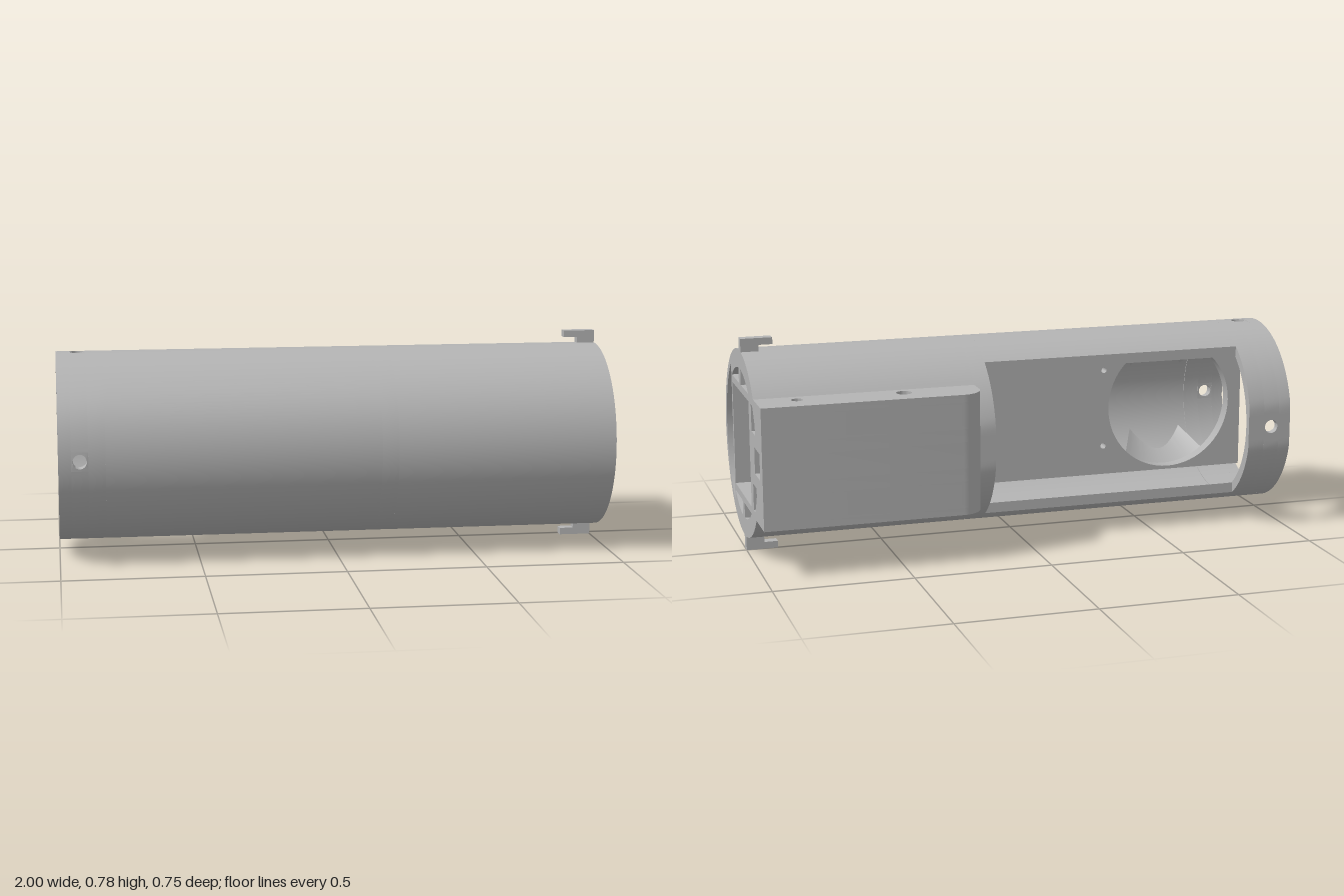
import * as THREE from 'three';
import { toCreasedNormals } from 'three/addons/utils/BufferGeometryUtils.js';

// Cross-sections use (a, h): a points to the back (-z), h is up, both from the tube axis.
const R = 0.342, RI = 0.312, RB = 0.309, FLAT = 0.333, PI = Math.PI;

const arc = (r, t0, t1, n = 96) => Array.from({ length: n + 1 }, (_, i) => {
  const t = t0 + (t1 - t0) * i / n, q = typeof r === 'function' ? r(t) : r;
  return [q * Math.cos(t), q * Math.sin(t)];
});
const circle = (r, x = 0, y = 0, n = 32) =>
  arc(r, 0, 2 * PI, n).slice(0, -1).map(p => [p[0] + x, p[1] + y]);
const rect = (x0, y0, x1, y1) => [[x0, y0], [x1, y0], [x1, y1], [x0, y1]];
const vecs = pts => pts.map(p => new THREE.Vector2(p[0], p[1]));
const mirror = pts => pts.map(p => [p[0], -p[1]]);

// outer radius of the collars, flattened at the back
const collarR = t => {
  const c = Math.cos(t);
  return c > 0 ? Math.min(R, FLAT / c) : R;
};

function extrude(pts, holes, depth, steps = 1) {
  const shape = new THREE.Shape(vecs(pts));
  holes.forEach(h => shape.holes.push(new THREE.Path(vecs(h))));
  return new THREE.ExtrudeGeometry(shape, { depth, steps, bevelEnabled: false });
}

export function createModel() {
  const model = new THREE.Group();
  const body = new THREE.Group();
  body.name = 'housing';
  body.position.set(0, 0.392, 0.033);
  model.add(body);
  const grey = new THREE.MeshStandardMaterial({ color: 0xb4b4b4 });
  grey.name = 'grey plastic';
  const greyThin = new THREE.MeshStandardMaterial({ color: 0xb4b4b4, side: THREE.DoubleSide });
  greyThin.name = 'grey plastic thin';

  const add = (name, geo, mat = grey) => {
    const mesh = new THREE.Mesh(toCreasedNormals(geo, 0.5), mat);
    mesh.name = name;
    body.add(mesh);
    return mesh;
  };
  // section extruded along x
  const along = (name, pts, holes, x0, x1) =>
    add(name, extrude(pts, holes, x1 - x0).rotateY(PI / 2).translate(x0, 0, 0));
  // plan (x, a) extruded upward
  const layer = (name, pts, holes, h0, h1, rule) => {
    const geo = extrude(pts, holes, h1 - h0, rule ? 10 : 1).rotateX(-PI / 2).translate(0, h0, 0);
    if (rule) {
      const p = geo.attributes.position;
      for (let i = 0; i < p.count; i++) {
        if (Math.abs(p.getZ(i) + 0.216) < 1e-4) p.setZ(i, -rule(p.getY(i)));
      }
    }
    return add(name, geo);
  };

  // end collar: two rings and a belt with four round screw holes
  const collar = arc(collarR, 0, 2 * PI).slice(0, -1);
  const bore = circle(RB, 0, 0, 96);
  along('endCollar', collar, [bore], -1, -0.955);
  along('endCollar', collar, [bore], -0.895, -0.835);
  const half = 0.1;
  for (let k = 0; k < 4; k++) {
    const t = k * PI / 2, a0 = t + half, a1 = t + PI / 2 - half;
    along('collarBelt', [...arc(collarR, a0, a1, 24), ...arc(RB, a1, a0, 24)], [], -0.955, -0.895);
    const patch = extrude(rect(-half, -0.955, half, -0.895),
      [circle(1, 0, 0, 24).map(p => [p[0] * 0.025 / 0.33, -0.925 + p[1] * 0.025])], 1);
    const p = patch.attributes.position;
    for (let i = 0; i < p.count; i++) {
      const q = t + p.getX(i), r = RB + (collarR(q) - RB) * p.getZ(i);
      p.setXYZ(i, p.getY(i), r * Math.sin(q), -r * Math.cos(q));
    }
    patch.computeVertexNormals();
    add('screwHolePatch', patch);
  }

  // open trough between the collars
  const to = Math.acos(0.193 / R), ti = Math.acos(0.193 / RI);
  along('openTube', [...arc(R, to, 2 * PI - to), ...arc(RI, 2 * PI - ti, ti)], [], -0.835, 0.145);

  // lengthwise partition with a large round opening and pin holes
  const pins = [];
  for (const x of [0.09, -0.43]) for (const h of [-0.15, 0.15]) pins.push(circle(0.011, x, h, 16));
  add('partition', extrude(rect(-1, -0.262, 0.145, 0.262), [circle(0.25, -0.7, 0, 64), ...pins], 0.049)
    .translate(0, 0, 0.132));

  // conical guides between the opening and the front wall
  const spread = 39 * PI / 180;
  for (const s of [0, PI]) {
    const cone = new THREE.CylinderGeometry(0.155, 0.25, 0.115, 24, 1, true, s - spread, 2 * spread);
    add('conicalGuide', cone.rotateX(PI / 2).translate(-0.7, 0, 0.238), greyThin);
  }

  // openings shared by the bulkhead and the socket
  const st = Math.acos(0.181 / 0.315);
  const frontSlot = arc(0.315, PI - st, PI + st, 48);
  const tA = Math.acos(0.167 / 0.275), tB = Math.acos(0.019 / 0.275);
  const slotBack = [[0.019, 0.218], ...arc(0.275, tA, tB, 20)];
  const slotFront = slotBack.map(p => [-p[0], p[1]]);
  const slots = [frontSlot, slotBack, slotFront, mirror(slotBack), mirror(slotFront)];

  // bulkhead with diamond window
  const s0 = Math.asin(0.095 / RB), s1 = Math.asin(0.1915 / RB), s2 = Math.asin(0.0475 / RB);
  const sideSlot = [[0.216, 0.095], ...arc(RB, s0, s1, 12), [0.216, 0.1915]];
  along('bulkhead', collar, [...slots, sideSlot, mirror(sideSlot),
    [[0.261, -0.0475], ...arc(RB, -s2, s2, 10), [0.261, 0.0475]],
    [[0.167, 0], [0, 0.19], [-0.164, 0], [0, -0.19]]], 0.145, 0.205);

  // socket end with a square bore
  const tc = Math.asin(0.218 / R);
  along('socket', [...arc(R, tc, 2 * PI - tc), [0.216, -0.218], [0.216, 0.218]],
    [...slots, rect(-0.164, -0.1915, 0.17, 0.1915)], 0.205, 1);

  // rear block, stacked in layers, with a rounded corner and two cross holes
  const corner = arc(0.08, PI / 2, PI, 12).map(p => [p[0] + 0.285, p[1] + 0.328]);
  const plan = [[0.205, 0.216], [1, 0.216], [1, 0.408], ...corner];
  const cross = [circle(0.028, 0.475, 0.313), circle(0.021, 0.855, 0.313)];
  const slotEdge = h => Math.min(0.283, Math.sqrt(RB * RB - h * h));
  for (const [h0, h1, rule] of [[0.1915, 0.218], [0.095, 0.1915, slotEdge], [0.0475, 0.095]]) {
    layer('rearBlock', plan, cross, h0, h1, rule);
    layer('rearBlock', plan, cross, -h1, -h0, rule);
  }
  layer('rearBlockInnerWall', rect(0.205, 0.216, 1, 0.261), [], -0.0475, 0.0475);
  layer('rearBlockOuterWall',
    [[0.205, 0.309], [0.25, 0.309], [0.25, 0.361], [1, 0.361], [1, 0.408], ...corner],
    [], -0.0475, 0.0475);

  // hooked keys above and below the socket end
  const hook = [[0.935, 0.335], [1, 0.335], [1, 0.388], [0.885, 0.388], [0.885, 0.363], [0.935, 0.363]];
  for (const pts of [hook, mirror(hook)]) {
    // key spans a thin strip just behind the axis
    add('hookedKey', extrude(pts, [], 0.036).translate(0, pts === hook ? 0 : -0.004, -0.036));
  }
  return model;
}
